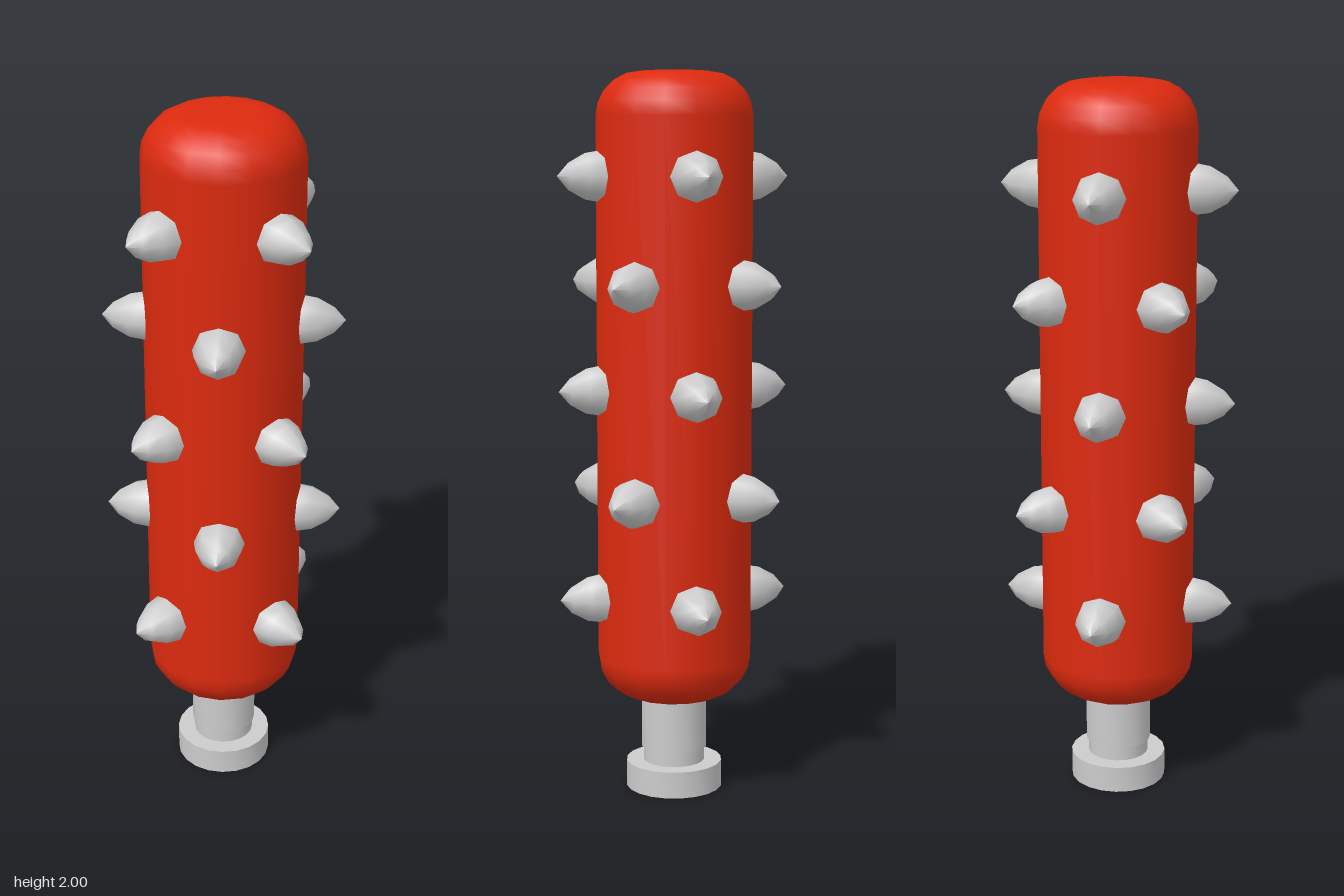
import * as THREE from 'three';
import { toCreasedNormals } from 'three/addons/utils/BufferGeometryUtils.js';

const PHASE = THREE.MathUtils.degToRad(-10.4);
const red = new THREE.MeshStandardMaterial({ color: 0xdc2a0e });
const grey = new THREE.MeshStandardMaterial({ color: 0xcccccc });

// Revolve a list of [radius, height] points, bottom to top
function lathe(name, points, sides, material, crease) {
  let geometry = new THREE.LatheGeometry(points.map(([r, y]) => new THREE.Vector2(r, y)), sides);
  if (crease) geometry = toCreasedNormals(geometry, crease);
  const mesh = new THREE.Mesh(geometry, material);
  mesh.name = name;
  return mesh;
}

export function createModel() {
  const group = new THREE.Group();
  group.name = 'spikedClub';

  // Rounded club head
  const R = 0.216, bottom = 0.265, top = 2, round = 0.12, steps = 5;
  const profile = [[0, bottom]];
  for (let i = 0; i <= steps; i++) {
    const a = (i / steps) * Math.PI / 2;
    profile.push([R - round + round * Math.sin(a), bottom + round - round * Math.cos(a)]);
  }
  for (let i = 0; i <= steps; i++) {
    const a = (i / steps) * Math.PI / 2;
    profile.push([R - round + round * Math.cos(a), top - round + round * Math.sin(a)]);
  }
  profile.push([0, top]);
  const head = lathe('clubHead', profile, 16, red);
  head.rotation.y = PHASE;
  group.add(head);

  // Handle with a slightly narrower neck above the pommel
  group.add(lathe('handle', [[0.086, 0.06], [0.086, 0.115], [0.092, 0.115], [0.092, 0.29]], 20, grey, 0.6));

  // Hollow pommel with a coloured rim underneath
  group.add(lathe('pommel', [
    [0.135, 0], [0.135, 0.075], [0.08, 0.075],
  ], 20, grey, 0.6));
  group.add(lathe('pommelBore', [[0, 0.055], [0.09, 0.055], [0.09, 0]], 20, grey, 0.6));
  group.add(lathe('pommelRim', [[0.09, 0], [0.135, 0]], 20, red));

  // Five rows of four spikes, alternate rows turned by an eighth
  const spikeProfile = [[0.07, 0.15], [0.069, 0.21], [0.062, 0.25], [0.036, 0.296], [0, 0.327]];
  for (let row = 0; row < 5; row++) {
    for (let k = 0; k < 4; k++) {
      const spike = lathe('spike', spikeProfile, 8, grey);
      spike.rotation.x = Math.PI / 2;
      const holder = new THREE.Group();
      holder.name = `spikeRow${row + 1}Number${k + 1}`;
      holder.position.y = 0.555 + row * 0.291;
      holder.rotation.y = PHASE + k * Math.PI / 2 + (row % 2) * Math.PI / 4;
      holder.add(spike);
      group.add(holder);
    }
  }
  return group;
}
